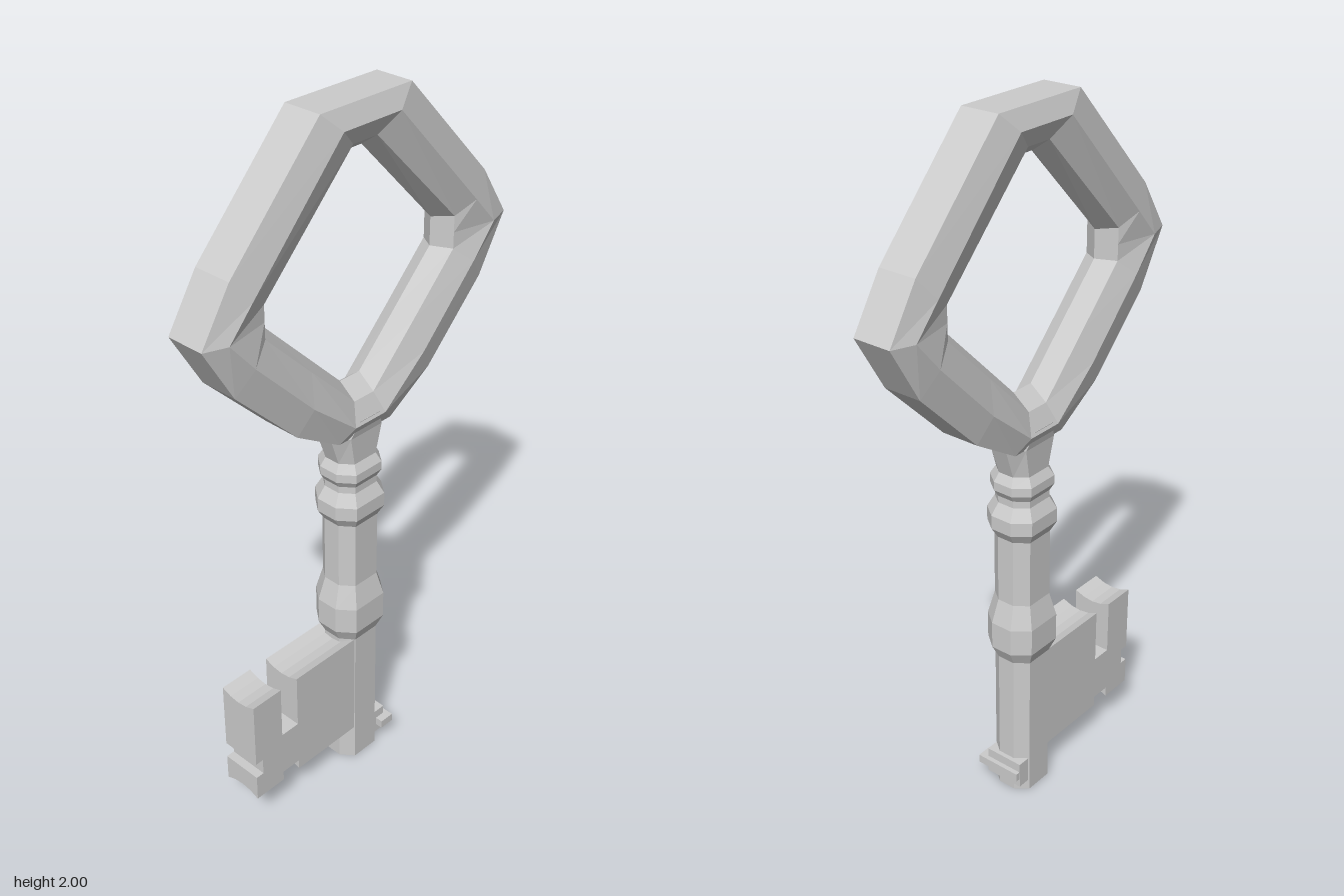
import * as THREE from 'three';

const material = new THREE.MeshStandardMaterial({ color: 0xcccccc, flatShading: true });
const Z = -0.004; // depth of the mid plane

// Joins rows of points into a faceted skin; each row is a closed ring.
function skin(rows, closeRows) {
  const pos = [];
  const a = new THREE.Vector3(), b = new THREE.Vector3();
  const tri = (p, q, r) => {
    a.subVectors(q, p);
    b.subVectors(r, p);
    if (a.cross(b).length() > 1e-9) for (const v of [p, q, r]) pos.push(v.x, v.y, v.z);
  };
  const n = rows[0].length;
  for (let s = 0; s < rows.length - (closeRows ? 0 : 1); s++) {
    const r0 = rows[s], r1 = rows[(s + 1) % rows.length];
    for (let k = 0; k < n; k++) {
      const j = (k + 1) % n;
      tri(r0[k], r1[k], r0[j]);
      tri(r1[k], r1[j], r0[j]);
    }
  }
  const g = new THREE.BufferGeometry();
  g.setAttribute('position', new THREE.Float32BufferAttribute(pos, 3));
  g.computeVertexNormals();
  return g;
}

function add(parent, name, geometry) {
  const mesh = new THREE.Mesh(geometry, material);
  mesh.name = name;
  parent.add(mesh);
  return mesh;
}

// Diamond handle: matching stations on four outlines, right half from top to bottom
function bowGeometry() {
  const outer = [[0.15, 2], [0.435, 1.7], [0.525, 1.56], [0.435, 1.405], [0.24, 1.21], [0.095, 1.12]];
  const crest = [[0.095, 1.95], [0.385, 1.64], [0.46, 1.558], [0.385, 1.47], [0.2, 1.28], [0.055, 1.16]];
  const lip = [[0.04, 1.9], [0.33, 1.605], [0.33, 1.56], [0.33, 1.515], [0.183, 1.367], [0.035, 1.22]];
  const inner = [[0.04, 1.865], [0.295, 1.6], [0.295, 1.56], [0.295, 1.52], [0.165, 1.39], [0.035, 1.26]];
  const section = [[inner, 0], [lip, 0.05], [crest, 0.075], [outer, 0.055],
    [outer, -0.055], [crest, -0.075], [lip, -0.05]];
  const station = (i, side) => section.map(([line, z]) =>
    new THREE.Vector3(side * line[i][0], line[i][1], z));
  const rows = [];
  for (let i = 0; i < 6; i++) rows.push(station(i, 1));
  for (let i = 5; i >= 0; i--) rows.push(station(i, -1));
  return skin(rows, true);
}

// Eight-sided shaft: [height, half width, half depth]
function shaftGeometry() {
  const profile = [
    [0, 0, 0], [0, 0.07, 0.062], [0.45, 0.07, 0.062], [0.49, 0.09, 0.078], [0.57, 0.09, 0.078],
    [0.64, 0.07, 0.062], [0.84, 0.07, 0.062], [0.87, 0.088, 0.077], [0.91, 0.088, 0.077],
    [0.945, 0.068, 0.06], [0.965, 0.068, 0.06], [0.985, 0.08, 0.07], [1.01, 0.08, 0.07],
    [1.035, 0.066, 0.056], [1.12, 0.095, 0.06], [1.17, 0.06, 0.072], [1.17, 0, 0],
  ];
  const ring = [[1, 0.42], [0.6, 1], [-0.6, 1], [-1, 0.42], [-1, -0.42], [-0.6, -1], [0.6, -1], [1, -0.42]];
  return skin(profile.map(([y, w, d]) => ring.map(([x, z]) => new THREE.Vector3(x * w, y, z * d))), false);
}

// Notched bit with hollowed top and bottom edges
function bitGeometry() {
  const top = 0.45, bottom = 0.115, half = 0.06;
  const outline = [
    [0, top], [-0.27, top], [-0.27, 0.285], [-0.33, 0.285], [-0.33, top], [-0.43, top],
    [-0.43, 0.245], [-0.405, 0.245], [-0.405, 0.195], [-0.43, 0.195], [-0.43, bottom],
    [-0.33, bottom], [-0.33, 0.145], [-0.27, 0.145], [-0.27, bottom], [0, bottom],
  ];
  const g = new THREE.ExtrudeGeometry(new THREE.Shape(outline.map(([x, y]) => new THREE.Vector2(x, y))),
    { depth: half * 2, steps: 4, bevelEnabled: false });
  g.translate(0, 0, -half);
  const p = g.attributes.position;
  for (let i = 0; i < p.count; i++) {
    const sag = 0.015 * (1 - (p.getZ(i) / half) ** 2);
    const y = p.getY(i);
    if (y > top - 0.001) p.setY(i, y - sag);
    if (y < bottom + 0.001) p.setY(i, y + sag);
  }
  g.computeVertexNormals();
  return g;
}

export function createModel() {
  const key = new THREE.Group();
  key.name = 'key';
  add(key, 'bow', bowGeometry());
  add(key, 'shaft', shaftGeometry());
  add(key, 'bit', bitGeometry());

  // Small stepped lug beside the tip
  const lug = new THREE.Group();
  lug.name = 'tipLug';
  add(lug, 'lugBlock', new THREE.BoxGeometry(0.04, 0.08, 0.118)).position.set(0.063, 0.073, 0);
  add(lug, 'lugRib', new THREE.BoxGeometry(0.045, 0.025, 0.14)).position.set(0.074, 0.073, 0.012);
  key.add(lug);

  key.children.forEach((part) => { part.position.z = Z; });
  return key;
}
